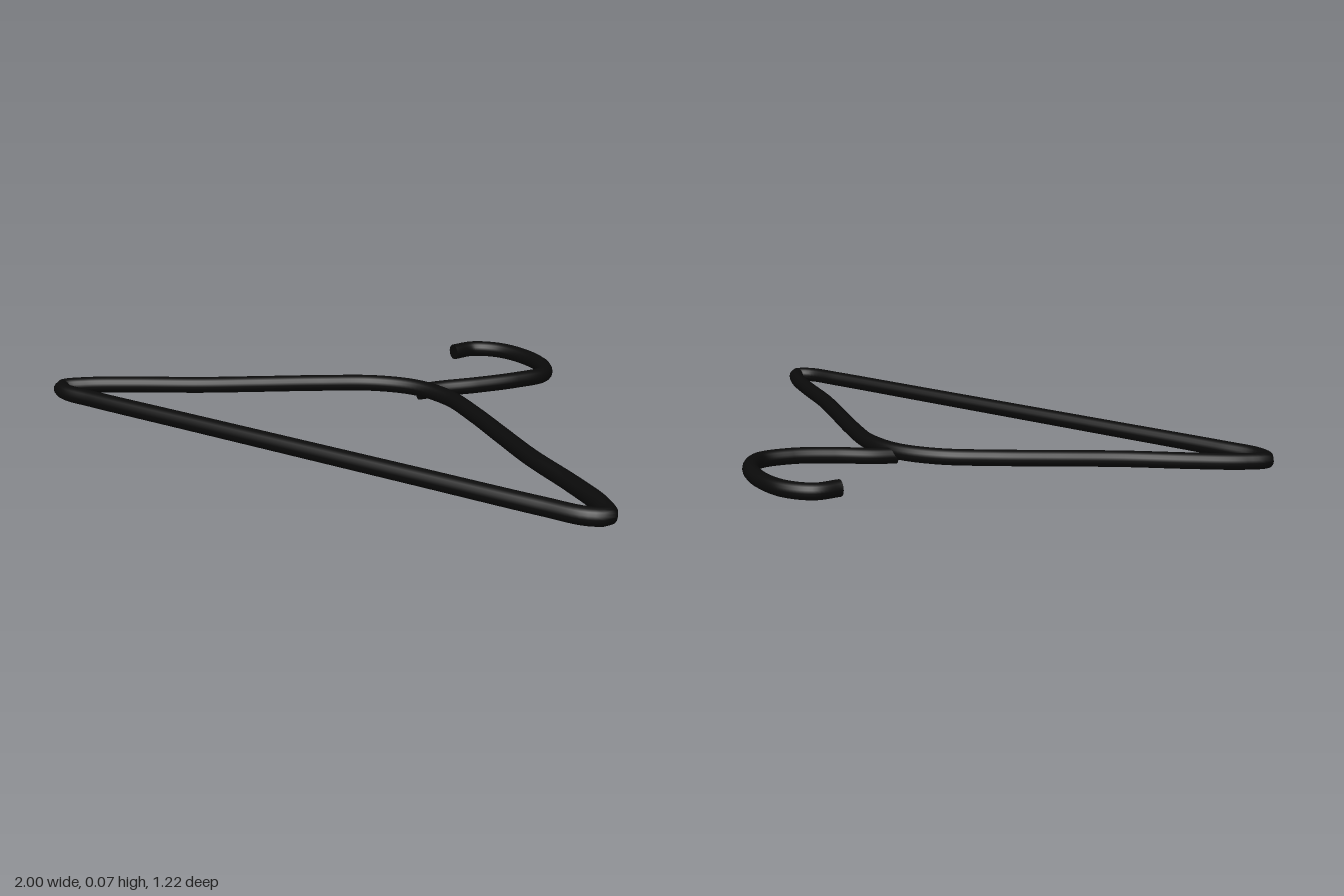
import * as THREE from 'three';

const RADIUS = 0.026;
const LEVEL = 0.041;

export function createModel() {
  const group = new THREE.Group();
  group.name = 'clothesHanger';
  const material = new THREE.MeshStandardMaterial({ color: 0x0a0a0a });

  function addWire(name, points, segments, closed) {
    const curve = new THREE.CatmullRomCurve3(points, closed, 'centripetal');
    const wire = new THREE.Mesh(new THREE.TubeGeometry(curve, segments, RADIUS, 16, closed), material);
    wire.name = name;
    group.add(wire);
    return curve;
  }

  // Closed shoulder frame: right half from the neck to the bottom bar, mirrored
  const half = [
    [0.14, -0.042], [0.29, 0.052], [0.45, 0.168], [0.61, 0.283], [0.8, 0.4],
    [0.925, 0.487], [0.973, 0.545], [0.93, 0.575], [0.8, 0.581], [0.4, 0.581],
  ];
  const side = (s) => half.map(([x, z]) => new THREE.Vector3(s * x, LEVEL, z));
  addWire('shoulderFrame', [
    new THREE.Vector3(0, LEVEL, -0.075), ...side(1), ...side(-1).reverse(),
  ], 240, true);

  // Hook: starts slightly under the neck and rises to the frame's level
  const hook = addWire('hook', [
    [0.003, 0.027, -0.075], [0.05, 0.03, -0.135], [0.14, 0.036, -0.217], [0.23, LEVEL, -0.32],
    [0.277, LEVEL, -0.42], [0.24, LEVEL, -0.495], [0.14, LEVEL, -0.562], [0.02, LEVEL, -0.588],
    [-0.07, LEVEL, -0.555], [-0.107, LEVEL, -0.483],
  ].map((p) => new THREE.Vector3(...p)), 100, false);

  // Flat caps on both wire ends of the hook
  for (const t of [0, 1]) {
    const cap = new THREE.Mesh(new THREE.CircleGeometry(RADIUS, 16), material);
    const outward = hook.getTangentAt(t).multiplyScalar(t ? 1 : -1);
    cap.position.copy(hook.getPointAt(t));
    cap.quaternion.setFromUnitVectors(new THREE.Vector3(0, 0, 1), outward);
    cap.name = t ? 'hookTipCap' : 'hookBaseCap';
    group.add(cap);
  }

  return group;
}
